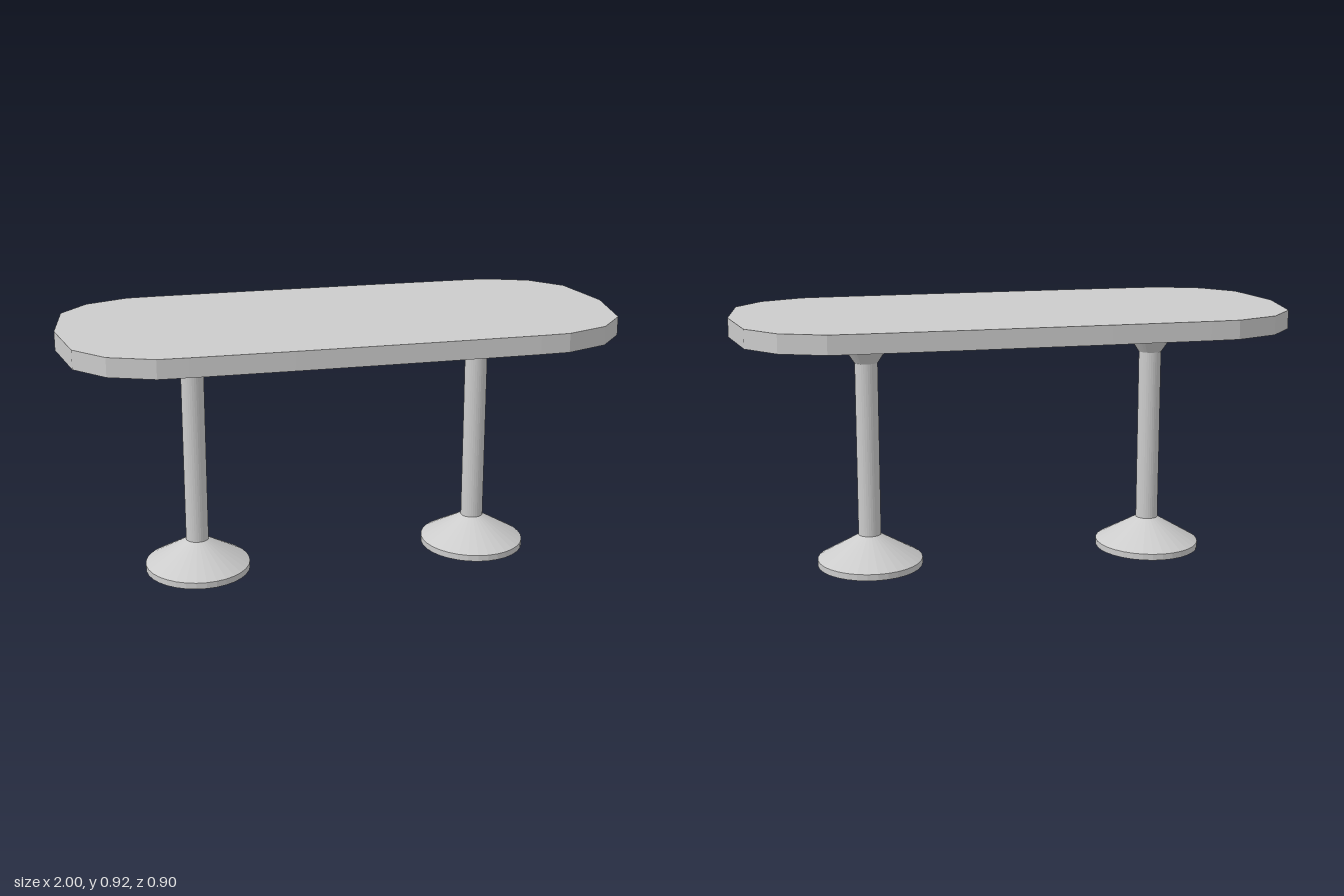
import * as THREE from 'three';

const material = new THREE.MeshStandardMaterial({ color: 0xcccccc, flatShading: true });
const SIDES = 32;

function addMesh(parent, name, geometry) {
  const mesh = new THREE.Mesh(geometry, material);
  mesh.name = name;
  parent.add(mesh);
  return mesh;
}

// Solid turned around y from a [radius, height] profile, bottom to top
function turned(profile) {
  return new THREE.LatheGeometry(profile.map(([r, y]) => new THREE.Vector2(r, y)), SIDES);
}

// Faceted oblong slab, one quarter outline mirrored to all four corners
function tabletopGeometry() {
  const quarter = [[1, 0], [0.96, 0.26], [0.86, 0.38], [0.705, 0.443], [0.6, 0.447], [0.25, 0.45]];
  const mirrored = quarter.map(([x, z]) => [-x, z]).reverse();
  const half = [...quarter, ...mirrored];
  const otherHalf = half.slice(1, -1).map(([x, z]) => [x, -z]).reverse();
  const shape = new THREE.Shape([...half, ...otherHalf].map(([x, z]) => new THREE.Vector2(x, z)));
  const geometry = new THREE.ExtrudeGeometry(shape, { depth: 0.067, bevelEnabled: false });
  return geometry.rotateX(-Math.PI / 2).translate(0, 0.853, 0);
}

// Pedestal: flared foot, round column and flared support under the top
function createPedestal(name, x) {
  const pedestal = new THREE.Group();
  pedestal.name = name;
  pedestal.position.set(x, 0, -0.002);
  const foot = addMesh(pedestal, 'foot',
    turned([[0, 0], [0.205, 0], [0.205, 0.023], [0.042, 0.112], [0, 0.112]]));
  foot.scale.x = 0.93;
  addMesh(pedestal, 'column',
    new THREE.CylinderGeometry(0.041, 0.041, 0.633, SIDES).translate(0, 0.4285, 0));
  addMesh(pedestal, 'topSupport',
    turned([[0, 0.745], [0.042, 0.745], [0.096, 0.825], [0.096, 0.847], [0, 0.847]]));
  return pedestal;
}

export function createModel() {
  const table = new THREE.Group();
  table.name = 'table';
  addMesh(table, 'tabletop', tabletopGeometry());
  table.add(createPedestal('leftPedestal', 0.524), createPedestal('rightPedestal', -0.53));
  return table;
}
